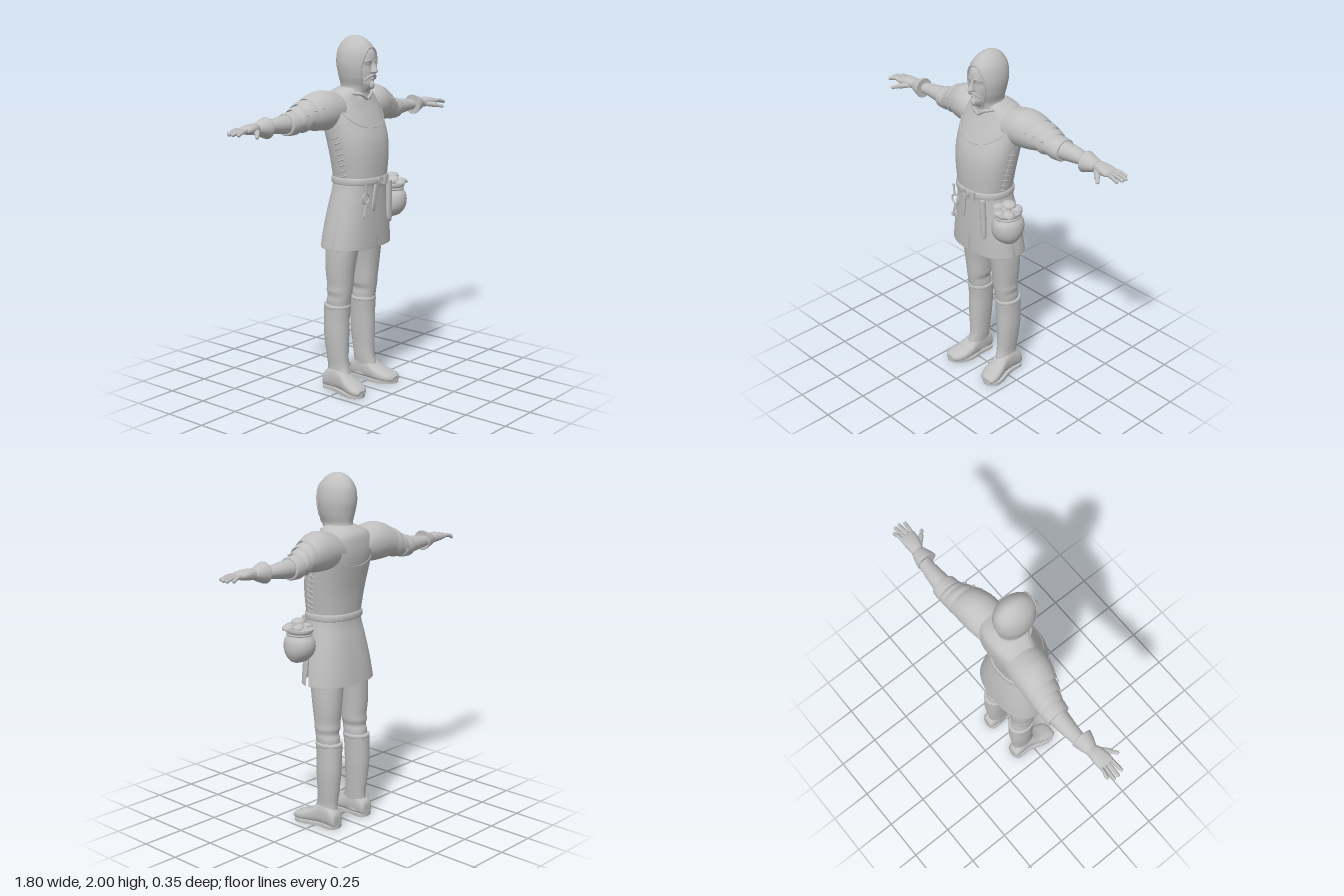
import * as THREE from 'three';

const V = (x, y, z) => new THREE.Vector3(x, y, z);
const { lerp } = THREE.MathUtils;

// Catmull-Rom smoothing of section rows
function smooth(rows, sub) {
  const out = [], last = rows.length - 1;
  const at = i => rows[Math.max(0, Math.min(last, i))];
  for (let i = 0; i < last; i++) for (let s = 0; s < sub; s++) {
    const t = s / sub;
    out.push(at(i).map((b, c) => {
      const a = at(i - 1)[c], d = at(i + 1)[c], e = at(i + 2)[c];
      return 0.5 * (2 * b + (d - a) * t + (2 * a - 5 * b + 4 * d - e) * t * t + (3 * b - a - 3 * d + e) * t ** 3);
    }));
  }
  out.push(rows[last]);
  return out;
}

// Skin over oval sections. Row: [t, u0, u1, v0, v1].
// Axis y: u = x, v = z.  Axis x: u = z, v = y.  Axis z: u = y, v = x.
function loft(axis, rows, { n = 32, sub = 4, pow = 2, arc = null, cap = true } = {}) {
  const R = smooth(rows, sub), pos = [], idx = [];
  const put = (u, t, v) => pos.push(...(axis === 'y' ? [u, t, v] : axis === 'x' ? [t, v, u] : [v, u, t]));
  const cols = arc ? n + 1 : n;
  const bend = c => Math.sign(c) * Math.abs(c) ** (2 / pow);
  R.forEach(([t, u0, u1, v0, v1]) => {
    const [a0, a1] = arc ? arc(t) : [0, Math.PI * 2];
    for (let j = 0; j < cols; j++) {
      const a = lerp(a0, a1, j / n);
      put((u0 + u1) / 2 + bend(Math.cos(a)) * (u1 - u0) / 2, t, (v0 + v1) / 2 + bend(Math.sin(a)) * (v1 - v0) / 2);
    }
  });
  for (let i = 0; i < R.length - 1; i++) for (let j = 0; j < n; j++) {
    const k = (j + 1) % cols, a = i * cols + j, b = i * cols + k;
    idx.push(a, a + cols, b, b, a + cols, b + cols);
  }
  if (cap && !arc) [0, R.length - 1].forEach(i => {
    const base = pos.length / 3, r = R[i];
    pos.push(...pos.slice(i * cols * 3, (i + 1) * cols * 3));
    put((r[1] + r[2]) / 2, r[0], (r[3] + r[4]) / 2);
    for (let j = 0; j < n; j++) {
      const k = (j + 1) % n;
      idx.push(base + n, ...(i ? [base + k, base + j] : [base + j, base + k]));
    }
  });
  const g = new THREE.BufferGeometry();
  g.setAttribute('position', new THREE.Float32BufferAttribute(pos, 3));
  g.setIndex(idx);
  g.computeVertexNormals();
  return g;
}

const tube = (pts, r, closed = false) =>
  new THREE.TubeGeometry(new THREE.CatmullRomCurve3(pts, closed), pts.length * 5, r, 6, closed);
const ball = (p, x, y, z) => new THREE.SphereGeometry(1, 16, 12).scale(x, y, z).translate(...p);
function capsule(p, q, r) {
  const d = q.clone().sub(p);
  const turn = new THREE.Quaternion().setFromUnitVectors(V(0, 1, 0), d.clone().normalize());
  return new THREE.CapsuleGeometry(r, d.length(), 4, 10).applyQuaternion(turn).translate(...p.clone().lerp(q, 0.5));
}
function mirror(geo) {
  const g = geo.clone().scale(-1, 1, 1), i = g.index.array;
  for (let k = 0; k < i.length; k += 3) [i[k], i[k + 1]] = [i[k + 1], i[k]];
  g.computeVertexNormals();
  return g;
}

const TORSO = [[1.17, -.155, .155, -.11, .14], [1.22, -.158, .158, -.115, .147], [1.35, -.178, .178, -.13, .15],
  [1.45, -.19, .19, -.15, .137], [1.55, -.197, .197, -.17, .098], [1.62, -.19, .19, -.172, .067],
  [1.68, -.15, .15, -.16, .045], [1.72, -.07, .07, -.11, .04]];

// Point on the torso at height y and angle a (a = 90 degrees is the front)
function onTorso(y, a, off = 0.001) {
  const i = Math.max(0, TORSO.findIndex(r => r[0] >= y) - 1), p = TORSO[i], q = TORSO[i + 1];
  const [, x0, x1, z0, z1] = p.map((c, k) => lerp(c, q[k], (y - p[0]) / (q[0] - p[0])));
  const f = c => Math.sign(c) * Math.abs(c) ** (2 / 2.3);
  return V(f(Math.cos(a)) * ((x1 - x0) / 2 + off), y, (z0 + z1) / 2 + f(Math.sin(a)) * ((z1 - z0) / 2 + off));
}

export function createModel() {
  const root = new THREE.Group();
  const grey = new THREE.MeshStandardMaterial({ color: 0xc0c0c0, side: THREE.DoubleSide });
  grey.name = 'plain grey';
  const add = (name, geo) => {
    const m = new THREE.Mesh(geo, grey);
    m.name = name;
    root.add(m);
  };
  const pair = (name, geo) => { add(name + 'Left', geo); add(name + 'Right', mirror(geo)); };
  const PI = Math.PI;

  // Torso with yoke seams front and back, and side lacing
  add('torso', loft('y', TORSO, { n: 48, pow: 2.3 }));
  for (const s of [1, -1]) add('yokeSeam', tube(Array.from({ length: 13 }, (_, i) => {
    const k = i / 6 - 1;
    return onTorso(1.505 + .115 * k * k, s * (PI / 2 - k * 1.15));
  }), .003));
  for (let i = 0; i < 8; i++) {
    const y = 1.24 + i * .03, a = .13 - i * .012;
    pair('lace', tube([onTorso(y, a - .13), onTorso(y + .008, a, .005), onTorso(y + .016, a + .13)], .004));
  }
  pair('sideSeam', tube(Array.from({ length: 8 }, (_, i) => onTorso(1.23 + i * .036, .13 - i * .016)), .003));

  // Hood, open around the face
  const gap = y => .76 * Math.sqrt(Math.max(0, 1 - ((y - 1.815) / .125) ** 2));
  const n = 40, hood = loft('y', [[1.65, -.115, .115, -.155, .068], [1.69, -.085, .085, -.125, .062],
    [1.725, -.07, .07, -.107, .075], [1.78, -.085, .085, -.117, .098], [1.85, -.095, .095, -.13, .108],
    [1.92, -.084, .084, -.124, .1], [1.968, -.055, .055, -.095, .065], [1.993, -.025, .025, -.055, .022],
    [2, -.001, .001, -.018, -.016]], { n, sub: 8, arc: y => [PI / 2 + gap(y), PI * 2.5 - gap(y)] });
  add('hood', hood);
  const hp = hood.attributes.position, rim = [];
  for (const c of [0, n]) {
    const side = [];
    for (let k = c; k < hp.count; k += n + 1) if (gap(hp.getY(k)) > .1) side.push(V(hp.getX(k), hp.getY(k), hp.getZ(k)));
    rim.push(...(c ? side.reverse() : side));
  }
  add('hoodRim', tube(rim, .006, true));

  // Face
  add('face', loft('y', [[1.69, -.035, .035, -.04, .06], [1.715, -.036, .036, -.03, .088], [1.74, -.046, .046, -.03, .101],
    [1.765, -.053, .053, -.03, .099], [1.81, -.062, .062, -.03, .1], [1.845, -.064, .064, -.03, .099],
    [1.87, -.064, .064, -.03, .108], [1.92, -.058, .058, -.03, .094], [1.95, -.03, .03, -.02, .05]], { pow: 2.2 }));
  add('nose', loft('y', [[1.798, -.008, .008, .09, .112], [1.805, -.016, .016, .085, .132], [1.815, -.014, .014, .085, .136],
    [1.84, -.008, .008, .085, .121], [1.868, -.01, .01, .085, .108]], { n: 16 }));
  pair('eye', ball([.025, 1.85, .091], .012, .007, .008));
  pair('brow', tube([V(.009, 1.862, .106), V(.026, 1.87, .103), V(.045, 1.861, .088)], .005));
  pair('moustache', tube([V(0, 1.791, .107), V(.016, 1.788, .106), V(.034, 1.776, .094), V(.042, 1.766, .083)], .0065));
  add('lowerLip', ball([0, 1.77, .101], .015, .005, .006));
  add('beard', ball([0, 1.735, .098], .016, .022, .014));
  pair('collar', tube([V(.095, 1.69, -.04), V(.08, 1.69, .02), V(.045, 1.685, .06), V(0, 1.655, .066)], .009));

  // Sleeves with a turned cuff and folds
  pair('sleeve', loft('x', [[.1, -.15, .02, 1.5, 1.67], [.2, -.172, .022, 1.495, 1.695], [.28, -.172, .005, 1.5, 1.68],
    [.33, -.168, -.015, 1.508, 1.65], [.36, -.174, -.02, 1.497, 1.648], [.385, -.168, -.033, 1.505, 1.62],
    [.41, -.172, -.035, 1.497, 1.62], [.43, -.165, -.043, 1.503, 1.605]], { sub: 5 }));
  pair('sleeveCuff', loft('x', [[.408, -.174, -.042, 1.497, 1.61], [.418, -.18, -.036, 1.49, 1.617],
    [.455, -.18, -.04, 1.49, 1.613], [.472, -.176, -.044, 1.492, 1.61], [.473, -.162, -.056, 1.505, 1.6]], { sub: 3 }));
  pair('forearm', loft('x', [[.45, -.165, -.055, 1.5, 1.604], [.53, -.16, -.064, 1.508, 1.597], [.6, -.15, -.07, 1.518, 1.587],
    [.67, -.138, -.07, 1.525, 1.58], [.72, -.128, -.066, 1.53, 1.58]]));

  // Layered shoulder plates
  const plate = (name, rows, drop) => pair(name, loft('x', rows, { arc: () => [-drop, PI + drop], sub: 4 }));
  plate('shoulderCap', [[.09, -.165, .035, 1.5, 1.683], [.16, -.178, .04, 1.5, 1.703], [.23, -.183, .035, 1.495, 1.712],
    [.29, -.184, .018, 1.495, 1.697], [.325, -.184, .006, 1.495, 1.676]], .05);
  plate('shoulderBand', [[.31, -.182, 0, 1.495, 1.67], [.35, -.184, -.008, 1.493, 1.668], [.378, -.184, -.018, 1.493, 1.65]], .15);
  plate('lowerBand', [[.365, -.18, -.022, 1.493, 1.643], [.395, -.182, -.028, 1.493, 1.64], [.415, -.18, -.034, 1.493, 1.625]], .2);
  for (const [x, y, z] of [[.17, 1.655, .017], [.23, 1.645, .02], [.295, 1.63, .007], [.34, 1.62, -.008], [.385, 1.6, -.024]])
    pair('rivet', ball([x, y, z], .007, .007, .007));

  // Gloves and fingers
  pair('gloveCuff', loft('x', [[.632, -.148, -.042, 1.505, 1.605], [.634, -.152, -.036, 1.497, 1.612],
    [.67, -.144, -.046, 1.51, 1.6], [.705, -.133, -.06, 1.525, 1.586], [.715, -.128, -.066, 1.53, 1.58]], { sub: 3 }));
  pair('palm', loft('x', [[.7, -.128, -.065, 1.53, 1.583], [.74, -.13, -.05, 1.531, 1.588], [.78, -.132, -.042, 1.536, 1.584],
    [.815, -.13, -.042, 1.545, 1.574], [.822, -.12, -.055, 1.552, 1.566]], { pow: 2.4, n: 24 }));
  [[.868, -.128, -.118], [.892, -.104, -.1], [.892, -.078, -.076], [.882, -.047, -.056]].forEach(([x, z, z0], i) =>
    pair('finger' + (i + 1), tube([V(.79, 1.561, z0), V(.84, 1.562, (z + z0) / 2), V(x, 1.55, z)], .0105)));
  [[.868, -.128], [.892, -.104], [.892, -.078], [.882, -.047]].forEach(([x, z]) =>
    pair('fingertip', ball([x, 1.55, z], .0105, .0105, .0105)));
  pair('thumb', capsule(V(.735, 1.55, -.062), V(.772, 1.542, -.026), .015));
  pair('thumbTip', capsule(V(.772, 1.542, -.026), V(.8, 1.534, .0), .0105));

  // Tunic skirt in three panels, split at the front and both sides
  const skirtRows = [[.84, -.226, .226, -.165, .135], [.85, -.226, .226, -.164, .136], [.95, -.21, .21, -.153, .138],
    [1.08, -.184, .184, -.132, .139], [1.16, -.166, .166, -.116, .14], [1.21, -.157, .157, -.112, .143]];
  const slit = (y, w) => w * Math.max(0, (1.06 - y) / .22);
  const skirt = (name, arc) => add(name, loft('y', skirtRows, { n: 28, pow: 2.4, arc }));
  skirt('skirtFrontLeft', y => [.1 + slit(y, .05), PI / 2 - slit(y, .03)]);
  skirt('skirtFrontRight', y => [PI / 2 + slit(y, .03), PI - .1 - slit(y, .05)]);
  skirt('skirtBack', y => [PI - .1 + slit(y, .07), PI * 2 + .1 - slit(y, .07)]);

  // Belt, buckle, hanging strap and keys
  add('belt', loft('y', [[1.198, -.16, .16, -.117, .147], [1.202, -.167, .167, -.124, .155], [1.23, -.167, .167, -.124, .155],
    [1.236, -.16, .16, -.117, .149]], { n: 48, sub: 2, pow: 2.3 }));
  add('buckle', new THREE.TorusGeometry(.022, .005, 8, 4).rotateZ(PI / 4).translate(0, 1.217, .158));
  add('strap', loft('y', [[1.05, -.045, -.03, .14, .145], [1.08, -.055, -.025, .14, .15], [1.2, -.035, -.008, .142, .156]], { pow: 4 }));
  add('strapLoop', new THREE.BoxGeometry(.03, .05, .014).translate(.05, 1.215, .155));
  add('keyCord', tube([V(-.115, 1.22, .145), V(-.108, 1.18, .148), V(-.105, 1.155, .145)], .006));
  add('keyRing', new THREE.TorusGeometry(.027, .005, 8, 20).translate(-.105, 1.128, .142));
  for (const [x, y] of [[-.125, 1.025], [-.095, 1.03]]) {
    add('keyShaft', capsule(V(-.105, 1.1, .143), V(x, y, .143), .005));
    add('keyBit', new THREE.BoxGeometry(.022, .02, .008).translate(x, y, .143));
  }
  add('dagger', loft('y', [[.965, .118, .122, .128, .14], [1.0, .095, .13, .12, .146], [1.2, .09, .122, .12, .15]], { n: 16, pow: 3 }));

  // Belt pouch filled with mushrooms
  add('pouch', loft('y', [[.972, .19, .265, .04, .09], [.985, .165, .285, .015, .115], [1.02, .145, .305, -.02, .143],
    [1.06, .14, .312, -.035, .152], [1.1, .15, .306, -.03, .147], [1.13, .167, .288, -.01, .127],
    [1.145, .158, .298, -.02, .137], [1.16, .155, .3, -.022, .138]], { n: 40 }));
  add('pouchCord', tube(Array.from({ length: 12 }, (_, i) =>
    V(.228 + .062 * Math.cos(i * PI / 6), 1.13, .06 + .07 * Math.sin(i * PI / 6)), 0), .007, true));
  pouchTops().forEach(([x, y, z, r, tilt]) => {
    const cap = new THREE.SphereGeometry(r, 18, 8, 0, PI * 2, 0, PI / 2).scale(1, .6, 1);
    const under = new THREE.CircleGeometry(r, 18).rotateX(PI / 2);
    const stem = new THREE.CylinderGeometry(r * .3, r * .4, .06, 10).translate(0, -.03, 0);
    for (const [name, g] of [['mushroomCap', cap], ['mushroomGills', under], ['mushroomStem', stem]])
      add(name, g.rotateZ(tilt).translate(x, y, z));
  });

  // Legs, boots, feet and soles
  pair('trouserLeg', loft('y', [[.46, .055, .165, -.115, .015], [.52, .052, .174, -.118, .024], [.555, .055, .172, -.11, .03],
    [.585, .045, .178, -.116, .034], [.62, .042, .177, -.115, .038], [.7, .036, .184, -.122, .047],
    [.8, .022, .186, -.125, .062], [.9, .005, .18, -.125, .08], [1.05, .0, .16, -.11, .09]], { pow: 2.15 }));
  pair('boot', loft('y', [[.03, .078, .165, -.125, .02], [.09, .078, .163, -.116, .035], [.14, .073, .161, -.114, .022],
    [.2, .069, .167, -.122, .017], [.32, .059, .178, -.134, .018], [.42, .053, .179, -.135, .018],
    [.495, .047, .181, -.134, .023], [.5, .05, .178, -.13, .02]], { pow: 2.15 }));
  pair('bootHem', loft('y', [[.482, .048, .181, -.134, .022], [.486, .044, .184, -.137, .026], [.5, .044, .184, -.137, .026],
    [.504, .05, .178, -.13, .02]], { sub: 2 }));
  pair('foot', loft('z', [[-.134, .012, .07, .1, .15], [-.122, .005, .1, .085, .168], [-.06, .005, .14, .077, .17],
    [0, .005, .125, .077, .175], [.05, .005, .09, .076, .19], [.1, .005, .07, .082, .204], [.14, .008, .055, .1, .203],
    [.158, .015, .04, .125, .188]], { pow: 2.5 }));
  const sole = new THREE.Shape();
  sole.moveTo(.125, -.138);
  sole.splineThru([[.172, -.115], [.176, -.03], [.205, .06], [.21, .12], [.165, .162], [.105, .135], [.074, .06],
    [.08, -.03], [.08, -.115], [.125, -.138]].map(p => new THREE.Vector2(...p)));
  const soleGeo = new THREE.ExtrudeGeometry(sole, { depth: .018, bevelEnabled: false, curveSegments: 40 })
    .rotateX(PI / 2).translate(0, .018, 0);
  soleGeo.setIndex([...Array(soleGeo.attributes.position.count).keys()]);
  pair('sole', soleGeo);
  return root;
}

// Mushroom placements: x, y, z, cap radius, tilt
function pouchTops() {
  return [[.19, 1.185, .1, .034, .35], [.235, 1.197, .06, .04, -.1], [.275, 1.165, .1, .034, -.4],
    [.225, 1.165, .125, .03, .1], [.265, 1.175, .03, .032, -.3], [.185, 1.17, .04, .03, .3]];
}
